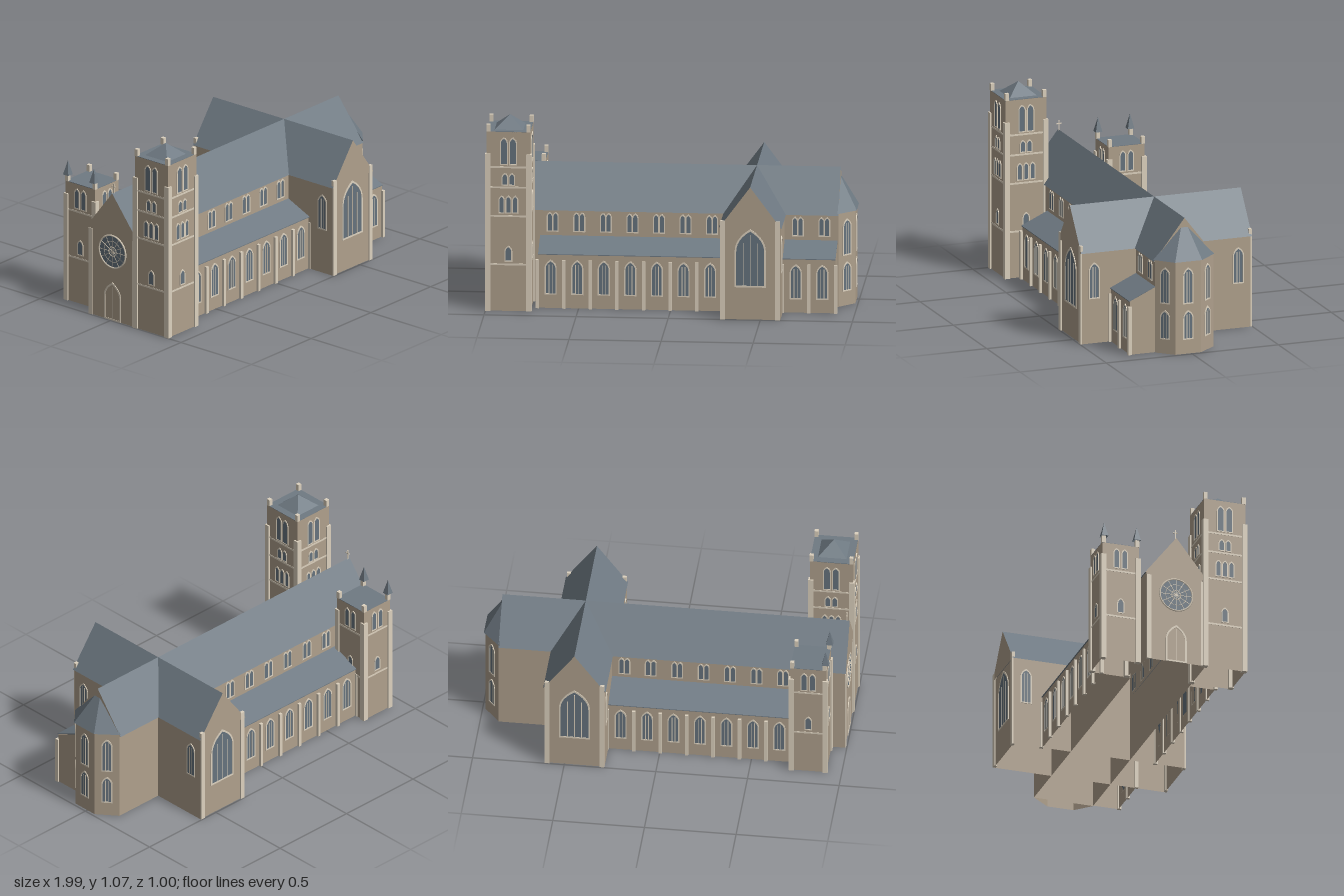
import * as THREE from 'three';
import { ConvexGeometry } from 'three/addons/geometries/ConvexGeometry.js';

const mat = (name, color, side = THREE.FrontSide) => {
  const m = new THREE.MeshStandardMaterial({ color, side });
  m.name = name;
  return m;
};

// keep only triangles whose normal has y between lo and hi, leaving an open shell
const hollow = (source, lo, hi) => {
  const src = source.index ? source.toNonIndexed() : source;
  const p = src.attributes.position, tri = new THREE.Triangle(), n = new THREE.Vector3();
  const out = new THREE.BufferGeometry(), kept = [];
  const groups = src.groups.length ? src.groups : [{ start: 0, count: p.count, materialIndex: 0 }];
  for (const { start, count, materialIndex } of groups) {
    const first = kept.length / 3;
    for (let i = start; i < start + count; i += 3) {
      tri.setFromAttributeAndIndices(p, i, i + 1, i + 2).getNormal(n);
      if (n.y >= lo && n.y <= hi) kept.push(...tri.a, ...tri.b, ...tri.c);
    }
    out.addGroup(first, kept.length / 3 - first, materialIndex);
  }
  out.setAttribute('position', new THREE.Float32BufferAttribute(kept, 3));
  out.computeVertexNormals();
  return out;
};
const wallShell = geo => hollow(geo, -0.1, 0.1);
const roofShell = geo => hollow(geo, -0.5, 1);

export function createModel() {
  const stone = mat('stone', 0xafa08c, THREE.DoubleSide);
  const trim = mat('paleStone', 0xdcd1be);
  const slate = mat('slate', 0x6f7a83, THREE.DoubleSide);
  const glass = mat('glass', 0x66737e);
  const model = new THREE.Group();
  model.name = 'church';

  const add = (parent, name, geo, material) => {
    const m = new THREE.Mesh(geo, material);
    m.name = name;
    parent.add(m);
    return m;
  };
  // box given by its extents
  const box = (parent, name, material, x0, x1, y0, y1, z0, z1) => {
    const m = add(parent, name, new THREE.BoxGeometry(x1 - x0, y1 - y0, z1 - z0), material);
    m.position.set((x0 + x1) / 2, (y0 + y1) / 2, (z0 + z1) / 2);
    return m;
  };
  // four walls, open above and below
  const walls = (parent, name, ...extents) => {
    const m = box(parent, name, stone, ...extents);
    m.geometry = wallShell(m.geometry);
  };
  const poly = pts => new THREE.Shape(pts.map(p => new THREE.Vector2(p[0], p[1])));
  const extrude = (shape, depth) =>
    new THREE.ExtrudeGeometry(shape, { depth, bevelEnabled: false, curveSegments: 6 });
  // prism along x from a [z, y] profile
  const prismX = (pts, x0, x1) =>
    extrude(poly(pts.map(([z, y]) => [-z, y])), x1 - x0).rotateY(Math.PI / 2).translate(x0, 0, 0);

  // pointed arch outline, inset by t
  const arch = (w, h, t = 0) => {
    const a = w / 2 - t, top = h - t * 1.4, s = h - w * 0.75, c = s + (top - s) * 0.6;
    const p = new THREE.Shape();
    p.moveTo(-a, t);
    p.lineTo(a, t);
    p.lineTo(a, s);
    p.quadraticCurveTo(a, c, 0, top);
    p.quadraticCurveTo(-a, c, -a, s);
    p.closePath();
    return p;
  };
  // framed arched window facing local +z, sill at the origin
  const windowAt = (parent, x, y, z, angle, w, h, lights = 1, t = 0.007, fill = glass) => {
    const g = new THREE.Group();
    g.name = 'archedWindow';
    const frame = arch(w, h);
    frame.holes.push(arch(w, h, t));
    add(g, 'windowFrame', extrude(frame, 0.004), trim);
    add(g, 'windowPane', extrude(arch(w, h, t * 0.8), 0.002), fill);
    const inner = w - 2 * t;
    for (let i = 1; i < lights; i++) {
      const mx = -inner / 2 + inner * i / lights;
      const top = h - w * 0.75 + w * 0.62 * (1 - Math.abs(mx) / (w / 2)) - t;
      box(g, 'mullion', trim, mx - 0.002, mx + 0.002, t, top, 0, 0.0035);
    }
    g.position.set(x, y, z);
    g.rotation.y = angle;
    parent.add(g);
  };

  // nave and chancel
  const zc = 0.007;
  walls(model, 'naveWalls', -0.99, 0.9, 0, 0.515, -0.162, 0.176);
  add(model, 'naveRoof', roofShell(prismX([[zc - 0.178, 0.51], [zc + 0.178, 0.51], [zc, 0.74]], -0.995, 0.9)),
    [stone, slate]);

  // transept
  walls(model, 'transeptWalls', 0.281, 0.608, 0, 0.515, -0.49, 0.489);
  const tRoof = extrude(poly([[0.275, 0.51], [0.615, 0.51], [0.445, 0.74]]), 0.992);
  add(model, 'transeptRoof', roofShell(tRoof.translate(0, 0, -0.496)), [stone, slate]);
  for (const s of [1, -1]) {
    const z = s * 0.4895;
    for (const x of [0.295, 0.594])
      box(model, 'transeptStrip', trim, x - 0.013, x + 0.013, 0, 0.55, z - 0.008, z + 0.008);
    windowAt(model, 0.445, 0.18, z, s > 0 ? 0 : Math.PI, 0.17, 0.325, 4, 0.009);
    windowAt(model, 0.608, 0.25, s * 0.418, Math.PI / 2, 0.065, 0.205, 3);
    windowAt(model, 0.281, 0.25, s * 0.418, -Math.PI / 2, 0.065, 0.205, 3);
  }

  // side aisles with buttresses, windows and clerestory
  const aisle = (s, x0, x1, first, count) => {
    const zo = s > 0 ? 0.32 : 0.324, a = s > 0 ? 0 : Math.PI, step = 0.1443;
    const wallZ = s > 0 ? 0.176 : -0.162;
    add(model, 'aisleWalls', wallShell(prismX(
      [[wallZ, 0], [s * zo, 0], [s * zo, 0.3], [wallZ, 0.366]], x0, x1)), stone);
    add(model, 'aisleRoof', prismX([[s * (zo + 0.006), 0.298], [s * (zo + 0.006), 0.302],
      [wallZ, 0.37], [wallZ, 0.366]], x0, x1), slate);
    for (let i = 0; i <= count; i++) {
      const bx = first + (i - 0.5) * step;
      box(model, 'aisleButtress', trim, bx - 0.009, bx + 0.009, 0, 0.27,
        Math.min(s * (zo - 0.006), s * (zo + 0.014)), Math.max(s * (zo - 0.006), s * (zo + 0.014)));
      if (i === count) break;
      const x = first + i * step;
      windowAt(model, x, 0.075, s * zo, a, 0.066, 0.195, 3);
      for (const d of [-0.0155, 0.0155]) windowAt(model, x + d, 0.39, wallZ, a, 0.034, 0.11, 1, 0.006);
    }
  };
  aisle(1, -0.72, 0.281, -0.652, 7);
  aisle(1, 0.608, 0.895, 0.679, 2);
  aisle(-1, -0.72, 0.281, -0.652, 7);

  // polygonal apse
  const plan = [[0.9, 0.178], [0.985, 0.093], [0.985, -0.056], [0.9, -0.162]];
  const apse = extrude(poly(plan.map(([x, z]) => [x, -z])), 0.52);
  add(model, 'apseWalls', wallShell(apse.rotateX(-Math.PI / 2)), stone);
  const eaves = [[0.895, 0.187], [0.993, 0.097], [0.993, -0.06], [0.895, -0.169]];
  add(model, 'apseRoof', roofShell(new ConvexGeometry([
    ...eaves.map(([x, z]) => new THREE.Vector3(x, 0.52, z)),
    new THREE.Vector3(0.902, 0.688, 0.028), new THREE.Vector3(0.902, 0.688, -0.011)])), slate);
  for (let i = 0; i < 3; i++) {
    const [p, q] = [plan[i], plan[i + 1]];
    const angle = Math.atan2(p[1] - q[1], q[0] - p[0]);
    const x = (p[0] + q[0]) / 2, z = (p[1] + q[1]) / 2;
    windowAt(model, x, 0.08, z, angle, 0.06, 0.165, 3);
    windowAt(model, x, 0.28, z, angle, 0.06, 0.205, 3);
  }

  // west front: rose window, door, corner strips and gable cross
  const west = new THREE.Group();
  west.name = 'westFront';
  west.position.set(-0.99, 0, zc);
  west.rotation.y = -Math.PI / 2;
  model.add(west);
  const pane = add(west, 'rosePane', new THREE.CylinderGeometry(0.095, 0.095, 0.004, 32), glass);
  pane.rotation.x = Math.PI / 2;
  pane.position.y = 0.4;
  for (const [r, t] of [[0.093, 0.005], [0.06, 0.002], [0.026, 0.003]]) {
    const ring = add(west, 'roseRing', new THREE.TorusGeometry(r, t, 6, 32), trim);
    ring.position.set(0, 0.4, 0.001);
  }
  for (let i = 0; i < 6; i++) {
    const spoke = add(west, 'roseSpoke', new THREE.BoxGeometry(0.18, 0.003, 0.007), trim);
    spoke.position.y = 0.4;
    spoke.rotation.z = i * Math.PI / 6;
  }
  windowAt(west, 0, 0, 0, 0, 0.12, 0.22, 2, 0.009, stone);
  for (const x of [-0.155, 0.155]) box(west, 'frontStrip', trim, x - 0.013, x + 0.013, 0, 0.5, -0.01, 0.005);
  box(west, 'crossUpright', trim, -0.0025, 0.0025, 0.73, 0.793, -0.012, -0.007);
  box(west, 'crossArm', trim, -0.014, 0.014, 0.772, 0.777, -0.012, -0.007);

  // towers; rows: [sill, height, window width, spacing, count]
  const tower = (name, x, z, hx, hz, height, strip, bands, rows, hidden) => {
    const g = new THREE.Group();
    g.name = name;
    g.position.set(x, 0, z);
    model.add(g);
    walls(g, 'towerWalls', -hx, hx, 0, height, -hz, hz);
    box(g, 'towerFlatRoof', slate, -hx, hx, height - 0.001, height + 0.002, -hz, hz);
    for (const y of bands) {
      for (const s of [-1, 1]) {
        const [ox, oz] = [s * (hx + 0.0005), s * (hz + 0.0005)];
        box(g, 'stringCourse', trim, -hx, hx, y - 0.005, y + 0.005, oz - 0.001, oz + 0.001);
        box(g, 'stringCourse', trim, ox - 0.001, ox + 0.001, y - 0.005, y + 0.005, -hz, hz);
      }
    }
    for (const sx of [-1, 1]) for (const sz of [-1, 1]) {
      const bx = sx * (hx - 0.006), bz = sz * (hz - 0.006), px = sx * (hx - 0.009), pz = sz * (hz - 0.009);
      box(g, 'cornerButtress', trim, bx - 0.0145, bx + 0.0145, 0, strip, bz - 0.0145, bz + 0.0145);
      box(g, 'cornerPinnacle', trim, px - 0.0105, px + 0.0105, height, height + 0.04, pz - 0.0105, pz + 0.0105);
    }
    for (let k = 0; k < 4; k++) {
      const a = k * Math.PI / 2, d = k % 2 ? hx : hz;
      for (const [sill, h, w, gap, n] of rows) {
        if (k === hidden && sill < 0.5) continue;
        for (let i = 0; i < n; i++) {
          const o = (i - (n - 1) / 2) * gap;
          windowAt(g, Math.sin(a) * d + Math.cos(a) * o, sill, Math.cos(a) * d - Math.sin(a) * o, a, w, h, 1, 0.006);
        }
      }
    }
    return g;
  };
  // four-sided pointed roof with half-width r
  const pyramid = (parent, name, r, h, x, y, z) => {
    const geo = new THREE.ConeGeometry(r * Math.SQRT2, h, 4, 1, true).rotateY(Math.PI / 4);
    add(parent, name, roofShell(geo), slate).position.set(x, y + h / 2, z);
  };
  const tall = tower('tallTower', -0.875, 0.285, 0.118, 0.118, 1, 0.877, [0.26, 0.53, 0.69, 0.803], [
    [0.275, 0.09, 0.042, 0, 1], [0.545, 0.1, 0.034, 0.037, 3],
    [0.7, 0.072, 0.036, 0.038, 2], [0.815, 0.155, 0.044, 0.049, 2]], 2);
  pyramid(tall, 'pyramidRoof', 0.078, 0.068, 0, 1.002, 0);

  const low = tower('lowTower', -0.818, -0.285, 0.098, 0.105, 0.69, 0.62, [0.26, 0.53],
    [[0.28, 0.09, 0.042, 0, 1], [0.545, 0.12, 0.038, 0.046, 2]], 0);
  for (const s of [-1, 1]) pyramid(low, 'cornerSpire', 0.019, 0.082, -0.093, 0.728, s * 0.093);
  return model;
}
